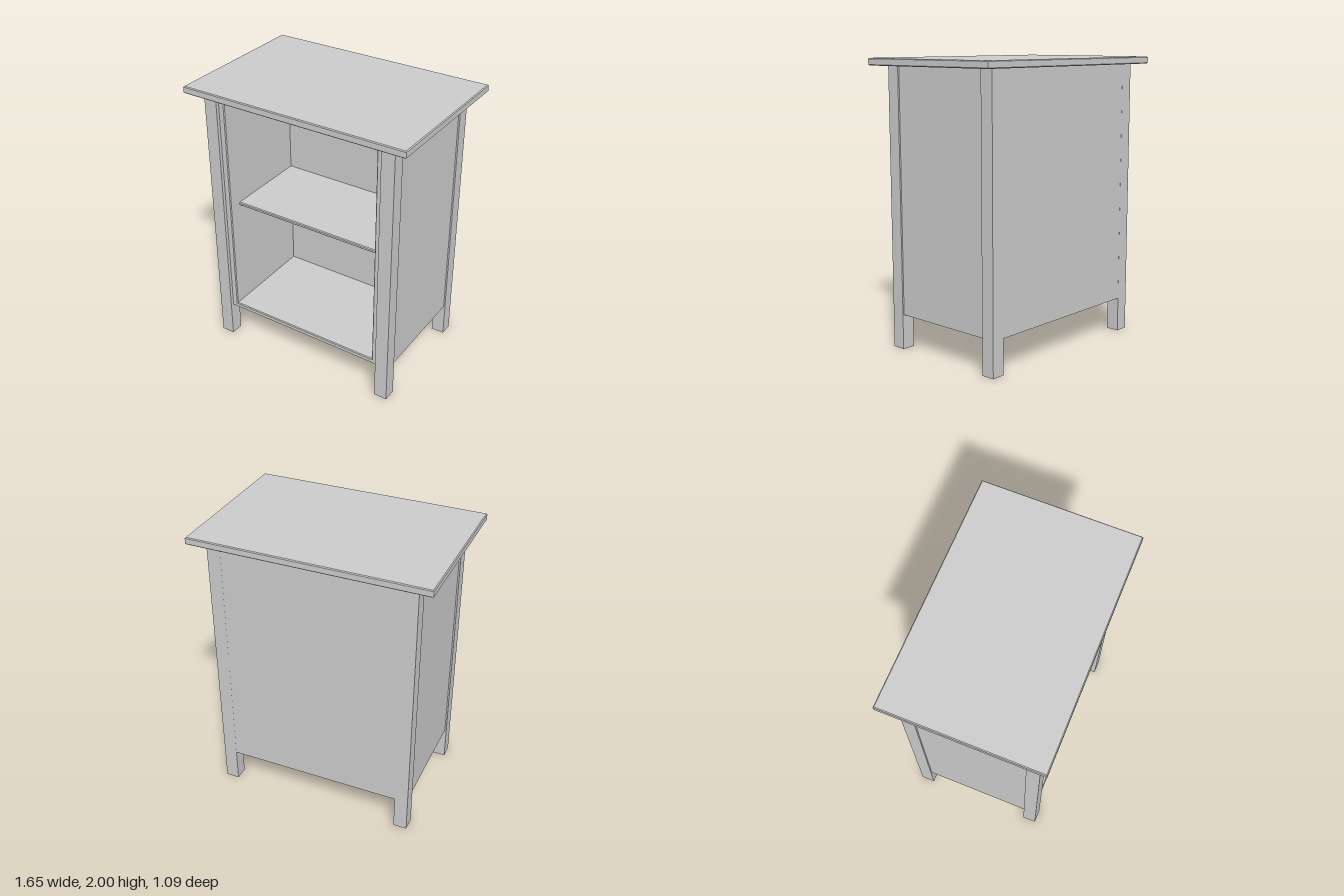
import * as THREE from 'three';

const material = new THREE.MeshStandardMaterial({ color: 0xcccccc });
const openMaterial = new THREE.MeshStandardMaterial({ color: 0xcccccc, side: THREE.DoubleSide });
const BEVEL = 0.006;

function rectPoints(x0, y0, x1, y1) {
  return [[x0, y0], [x1, y0], [x1, y1], [x0, y1]].map(([x, y]) => new THREE.Vector2(x, y));
}

// Extrude a rectangle (optionally with a hole) from z0 to z1, with chamfered end edges
function chamferedSlab(outer, z0, z1, hole) {
  const shape = new THREE.Shape(rectPoints(...outer));
  if (hole) shape.holes.push(new THREE.Path(rectPoints(...hole).reverse()));
  const geometry = new THREE.ExtrudeGeometry(shape, {
    depth: z1 - z0 - 2 * BEVEL,
    bevelThickness: BEVEL,
    bevelSize: BEVEL,
    bevelOffset: -BEVEL,
    bevelSegments: 1,
  });
  return geometry.translate(0, 0, z0 + BEVEL);
}

// Box given by its two opposite corners
function boxBetween(x0, y0, z0, x1, y1, z1) {
  return new THREE.BoxGeometry(x1 - x0, y1 - y0, z1 - z0)
    .translate((x0 + x1) / 2, (y0 + y1) / 2, (z0 + z1) / 2);
}

export function createModel() {
  const model = new THREE.Group();
  model.name = 'cabinet';
  const add = (name, geometry, mat = material) => {
    const mesh = new THREE.Mesh(geometry, mat);
    mesh.name = name;
    model.add(mesh);
  };

  // Overhanging top board
  add('topBoard', chamferedSlab([-0.825, -0.547, 0.825, 0.547], 1.95, 2)
    .translate(0, 0, -1.975).rotateX(-Math.PI / 2).translate(0, 1.975, 0));

  // Square legs, hollow and open at the foot
  for (const sx of [1, -1]) {
    for (const sz of [1, -1]) {
      const leg = new THREE.BoxGeometry(0.095, 1.95, 0.095);
      const index = Array.from(leg.index.array);
      index.splice(18, 6); // bottom face
      leg.setIndex(index);
      leg.clearGroups();
      leg.translate(sx * 0.668, 0.975, sz * 0.428);
      add((sz > 0 ? 'front' : 'back') + (sx > 0 ? 'LeftLeg' : 'RightLeg'), leg, openMaterial);
    }
  }

  // Carcass: sides, floor and ceiling around the open compartment
  add('carcass', chamferedSlab([-0.705, 0.245, 0.705, 1.95], -0.44, 0.45,
    [-0.578, 0.282, 0.578, 1.905]));

  // Back: inner wall of the compartment and outer panel flush with the legs
  add('innerBack', boxBetween(-0.58, 0.28, -0.44, 0.58, 1.907, -0.27));
  add('backPanel', boxBetween(-0.621, 0.245, -0.475, 0.621, 1.95, -0.434));

  // Middle shelf, set back from the front
  add('shelf', chamferedSlab([-0.585, 1.08, 0.585, 1.105], -0.28, 0.355));

  return model;
}
